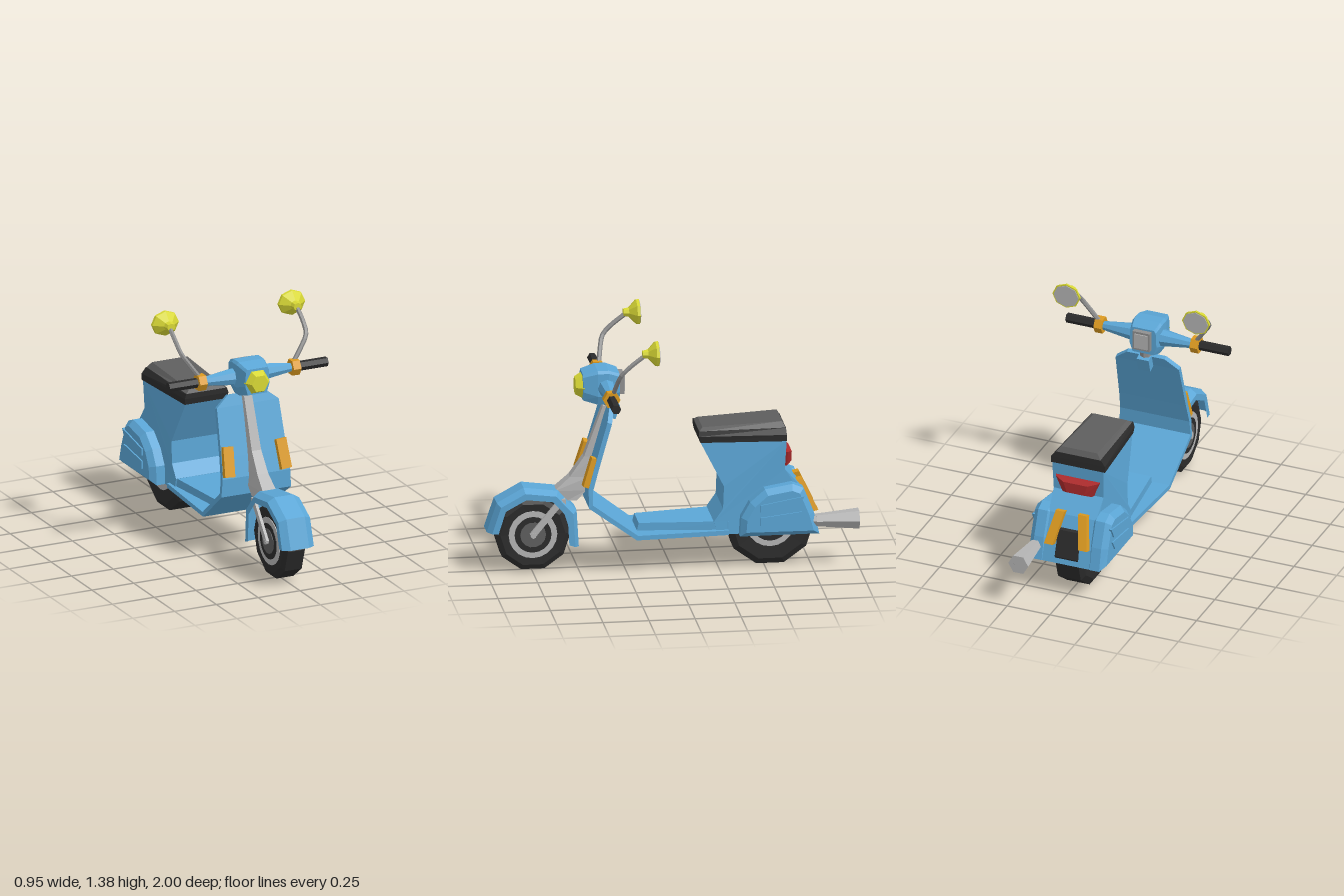
import * as THREE from 'three';

const mat = (name, color, side = THREE.FrontSide) =>
  Object.assign(new THREE.MeshStandardMaterial({ color, flatShading: true, side }), { name });

export function createModel() {
  const root = new THREE.Group();
  root.name = 'scooter';
  const blue = mat('blue paint', 0x5ba6d6, THREE.DoubleSide);
  const yellow = mat('yellow', 0xd8d835);
  const orange = mat('orange', 0xdc9a20);
  const black = mat('black rubber', 0x2b2b2b);
  const grey = mat('dark grey', 0x5e5e5e);
  const silver = mat('silver', 0xb4b4b4);
  const steel = mat('steel', 0x909090);
  const red = mat('red', 0xac2a2c);

  const add = (name, geo, material, x = 0, y = 0, z = 0, parent = root) => {
    const m = new THREE.Mesh(geo, material);
    m.name = name;
    m.position.set(x, y, z);
    parent.add(m);
    return m;
  };

  // Skin through rings of [x, y, z] points; capped and turned outward when closed
  const loft = (rings, closed = true) => {
    const n = rings[0].length, tris = [];
    for (let i = 0; i < rings.length - 1; i++) {
      for (let j = 0; j < (closed ? n : n - 1); j++) {
        const k = (j + 1) % n, [a, b] = [rings[i], rings[i + 1]];
        tris.push([a[j], a[k], b[k]], [a[j], b[k], b[j]]);
      }
    }
    const last = rings[rings.length - 1];
    if (closed) for (let j = 1; j < n - 1; j++) {
      tris.push([rings[0][0], rings[0][j + 1], rings[0][j]], [last[0], last[j], last[j + 1]]);
    }
    const v = (p) => new THREE.Vector3(...p);
    const volume = tris.reduce((s, [a, b, c]) => s + v(a).dot(v(b).cross(v(c))), 0);
    if (closed && volume < 0) tris.forEach((t) => t.reverse());
    const g = new THREE.BufferGeometry();
    g.setAttribute('position', new THREE.Float32BufferAttribute(tris.flat(2), 3));
    g.computeVertexNormals();
    return g;
  };

  // Side outline of [z, y] points extruded from x0 to x1
  const slab = (pts, x0, x1, bevel = 0) => {
    const g = new THREE.ExtrudeGeometry(new THREE.Shape(pts.map((p) => new THREE.Vector2(...p))), {
      depth: x1 - x0 - 2 * bevel, bevelEnabled: bevel > 0, bevelSize: bevel,
      bevelThickness: bevel, bevelOffset: -bevel, bevelSegments: 1,
    });
    return g.rotateY(-Math.PI / 2).translate(x1 - bevel, 0, 0);
  };
  // Horizontal cylinder along x, rIn at the negative end
  const axial = (rNeg, rPos, len, sides) =>
    new THREE.CylinderGeometry(rNeg, rPos, len, sides).rotateZ(Math.PI / 2);
  // Rectangle ring at height y
  const rect = (w, y, z0, z1, w1 = w) => [[-w, y, z0], [w, y, z0], [w1, y, z1], [-w1, y, z1]];

  // Wheels
  const wheel = (name, R, hw, y, z) => {
    const g = new THREE.Group();
    g.name = name;
    g.position.set(0, y, z);
    root.add(g);
    const profile = [[0, -hw + 0.01], [0.13, -hw + 0.004], [R * 0.86, -hw], [R, -hw * 0.78],
      [R, hw * 0.78], [R * 0.86, hw], [0.13, hw - 0.004], [0, hw - 0.01]];
    add('tyre', new THREE.LatheGeometry(profile.map((p) => new THREE.Vector2(...p)), 10).rotateZ(Math.PI / 2), black, 0, 0, 0, g);
    add('rim', axial(0.132, 0.132, 2 * hw + 0.002, 20), silver, 0, 0, 0, g);
    add('brakeDrum', axial(0.1, 0.1, 2 * hw + 0.008, 20), black, 0, 0, 0, g);
    add('hub', axial(0.07, 0.07, 2 * hw + 0.014, 14), grey, 0, 0, 0, g);
    add('axle', axial(0.016, 0.016, 2 * hw + 0.05, 8), silver, 0, 0, 0, g);
  };
  wheel('frontWheel', 0.206, 0.065, 0.213, 0.75);
  wheel('rearWheel', 0.243, 0.085, 0.231, -0.535);

  // Front fender, an arched channel around the wheel
  const arch = [[1, 0.235], [0.946, 0.397], [0.8, 0.477], [0.614, 0.452], [0.512, 0.338], [0.5, 0.134]];
  const channel = [[-0.095, 0.06], [-0.095, 0.025], [-0.055, 0], [0.055, 0], [0.095, 0.025], [0.095, 0.06]];
  add('frontFender', loft(arch.map(([z, y]) => {
    const d = new THREE.Vector2(0.75 - z, 0.22 - y).normalize();
    return channel.map(([x, h]) => [x, y + d.y * h, z + d.x * h]);
  }), false), blue);

  // Steering column cover and fork
  add('columnCover', loft([
    rect(0.036, 0.91, 0.33, 0.365, 0.024), rect(0.04, 0.63, 0.41, 0.468, 0.028),
    rect(0.046, 0.52, 0.44, 0.545, 0.032), rect(0.05, 0.445, 0.46, 0.63, 0.04),
    rect(0.05, 0.39, 0.51, 0.56, 0.04),
  ]), silver);
  for (const s of [-1, 1]) {
    const bar = add('forkLeg', new THREE.BoxGeometry(0.016, 0.25, 0.034), silver, s * 0.08, 0.307, 0.677);
    bar.rotation.x = -0.69;
  }
  add('forkCrown', new THREE.BoxGeometry(0.17, 0.03, 0.05), silver, 0, 0.395, 0.6);
  add('steeringNeck', new THREE.CylinderGeometry(0.035, 0.035, 0.1, 8), steel, 0, 0.92, 0.325);
  add('neckBracket', new THREE.BoxGeometry(0.07, 0.08, 0.05), blue, 0, 0.88, 0.31).rotation.x = -0.3;

  // Leg shield running down into the floor: [z, y, half width]
  const path = [[0.33, 0.92, 0.11], [0.35, 0.86, 0.185], [0.425, 0.6, 0.195], [0.455, 0.49, 0.202],
    [0.455, 0.4, 0.208], [0.2, 0.208, 0.19], [-0.3, 0.208, 0.16]];
  add('legShieldAndFloor', loft(path.map(([z, y, w], i) => {
    const a = path[Math.max(i - 1, 0)], b = path[Math.min(i + 1, path.length - 1)];
    const t = new THREE.Vector2(b[0] - a[0], b[1] - a[1]).normalize().multiplyScalar(0.013);
    return [[-w, y + t.x, z - t.y], [w, y + t.x, z - t.y], [w, y - t.x, z + t.y], [-w, y - t.x, z + t.y]];
  })), blue);
  add('floorTunnel', loft([
    [[-0.09, 0.2, 0.195], [0.09, 0.2, 0.195], [0.09, 0.262, 0.18], [-0.09, 0.262, 0.18]],
    [[-0.145, 0.2, -0.3], [0.145, 0.2, -0.3], [0.145, 0.268, -0.3], [-0.145, 0.268, -0.3]],
  ]), blue);

  // Rear body, narrower toward the front of the seat and the tail
  const body = slab([[-0.22, 0.268], [-0.27, 0.34], [-0.275, 0.465], [-0.15, 0.712], [-0.615, 0.712],
    [-0.605, 0.55], [-0.69, 0.45], [-0.755, 0.3], [-0.783, 0.195], [-0.24, 0.195]].reverse(), -1, 1);
  const bp = body.attributes.position;
  for (let i = 0; i < bp.count; i++) {
    const z = bp.getZ(i), y = bp.getY(i);
    const w = z < -0.65 ? 0.138 : y > 0.6 ? 0.122 + (-0.15 - z) * 0.06 : 0.145;
    bp.setX(i, bp.getX(i) * w);
  }
  add('rearBody', body, blue);

  // Side cowls with raised wedge ribs
  const cowl = [[-0.355, 0.195], [-0.362, 0.3], [-0.41, 0.385], [-0.49, 0.455], [-0.64, 0.48],
    [-0.7, 0.455], [-0.755, 0.32], [-0.785, 0.195]].reverse();
  const ribs = [[[-0.46, 0.375], [-0.7, 0.418], [-0.665, 0.355], [-0.46, 0.337]],
    [[-0.46, 0.305], [-0.685, 0.332], [-0.65, 0.275], [-0.46, 0.262]]];
  for (const s of [-1, 1]) {
    const [x0, x1] = s > 0 ? [0.11, 0.225] : [-0.225, -0.11];
    add('sideCowl', slab(cowl, x0, x1, 0.03), blue);
    for (const r of ribs) add('cowlRib', slab(r, s * 0.225 - 0.008, s * 0.225 + 0.008), blue);
  }

  // Seat
  const seatRing = (y0, y1, zf, zb, wf, wb) =>
    [[-wf, y0, zf], [wf, y0, zf], [wb, y1, zb], [-wb, y1, zb]];
  add('seatBase', loft([seatRing(0.71, 0.71, -0.15, -0.615, 0.127, 0.158),
    seatRing(0.745, 0.745, -0.142, -0.615, 0.13, 0.158),
    seatRing(0.772, 0.778, -0.142, -0.613, 0.122, 0.134)]), black);
  add('seatCushion', loft([seatRing(0.77, 0.776, -0.143, -0.612, 0.121, 0.132),
    seatRing(0.788, 0.808, -0.165, -0.595, 0.095, 0.105)]), grey);

  // Tail light and rear indicators
  const lightRing = (z, wt, wb, y0, y1) => [[-wb, y0, z], [wb, y0, z], [wt, y1, z], [-wt, y1, z]];
  add('tailLight', loft([lightRing(-0.585, 0.135, 0.1, 0.55, 0.645),
    lightRing(-0.625, 0.125, 0.085, 0.55, 0.638), lightRing(-0.653, 0.07, 0.05, 0.565, 0.625)]), red);
  for (const s of [-1, 1]) {
    const ring = (xc, y, z) => [[-0.028, 0, 0.025], [0.028, 0, 0.025], [0.025, 0.01, -0.018], [-0.025, 0.01, -0.018]]
      .map(([x, dy, dz]) => [s * xc + x, y + dy, z + dz]);
    add('rearIndicator', loft([ring(0.065, 0.465, -0.69), ring(0.1, 0.295, -0.772)]), orange);
    const lamp = add('frontIndicator', new THREE.BoxGeometry(0.06, 0.165, 0.045), orange, s * 0.164, 0.582, 0.45);
    lamp.rotation.set(-0.3, 0, -s * -0.07);
  }

  // Exhaust
  const pipe = (r0, r1, len) => new THREE.CylinderGeometry(r0, r1, len, 6).rotateX(Math.PI / 2).rotateZ(Math.PI / 6);
  const hex = Math.PI / 6;
  add('exhaust', pipe(0.035, 0.058, 0.23).rotateZ(-hex + Math.PI / 6), silver, 0.185, 0.268, -0.885);
  add('exhaustLink', pipe(0.02, 0.035, 0.08), silver, 0.185, 0.268, -0.74);
  add('exhaustOpening', pipe(0.03, 0.03, 0.008), steel, 0.185, 0.268, -0.999 + 0.003);

  // Headlamp housing
  const housing = (z, w, y0, y1) => [[-w * 0.78, y0, z], [w * 0.78, y0, z], [w, y0 + 0.05, z], [w * 0.95, y1 - 0.015, z],
    [w * 0.82, y1, z], [-w * 0.82, y1, z], [-w * 0.95, y1 - 0.015, z], [-w, y0 + 0.05, z]];
  add('headlampHousing', loft([housing(0.478, 0.072, 0.955, 1.1), housing(0.4, 0.09, 0.932, 1.122),
    housing(0.34, 0.09, 0.932, 1.122), housing(0.28, 0.078, 0.95, 1.1)]), blue);
  add('headlamp', new THREE.CylinderGeometry(0.05, 0.076, 0.045, 6).rotateX(Math.PI / 2).rotateZ(Math.PI / 6),
    yellow, 0, 1.025, 0.493);
  add('gaugeBox', new THREE.BoxGeometry(0.1, 0.11, 0.04), steel, 0, 1.035, 0.272);
  add('gaugeFace', new THREE.BoxGeometry(0.075, 0.085, 0.008), silver, 0, 1.035, 0.25);

  // Handlebar, grips and mirrors
  for (const s of [-1, 1]) {
    const bar = s > 0 ? [0.05, 0.024] : [0.024, 0.05];
    // after rotation the cylinder top points to -x
    add('handlebar', axial(bar[0], bar[1], 0.19, 8), blue, s * 0.17, 1.027, 0.353);
    add('indicatorCollar', axial(0.047, 0.047, 0.045, 6), orange, s * 0.28, 1.027, 0.355);
    add('grip', axial(0.027, 0.027, 0.175, 6), black, s * 0.387, 1.027, 0.355);
    const stem = new THREE.CatmullRomCurve3([[0.28, 1.05, 0.345], [0.33, 1.12, 0.332], [0.372, 1.185, 0.312],
      [0.38, 1.235, 0.265], [0.38, 1.297, 0.185]].map(([x, y, z]) => new THREE.Vector3(s * x, y, z)));
    add('mirrorStem', new THREE.TubeGeometry(stem, 12, 0.013, 6), steel);
    const shell = [[0, 0.2], [0.024, 0.2], [0.03, 0.17], [0.079, 0.13], [0.081, 0.115], [0, 0.115]].reverse();
    const back = new THREE.LatheGeometry(shell.map((p) => new THREE.Vector2(...p)), 8).rotateX(Math.PI / 2).scale(1, 0.88, 1);
    add('mirrorShell', back, yellow, s * 0.378, 1.304, 0);
    add('mirrorGlass', new THREE.CylinderGeometry(0.073, 0.073, 0.006, 8).rotateX(Math.PI / 2).scale(1, 0.88, 1),
      silver, s * 0.378, 1.304, 0.114);
  }
  return root;
}
